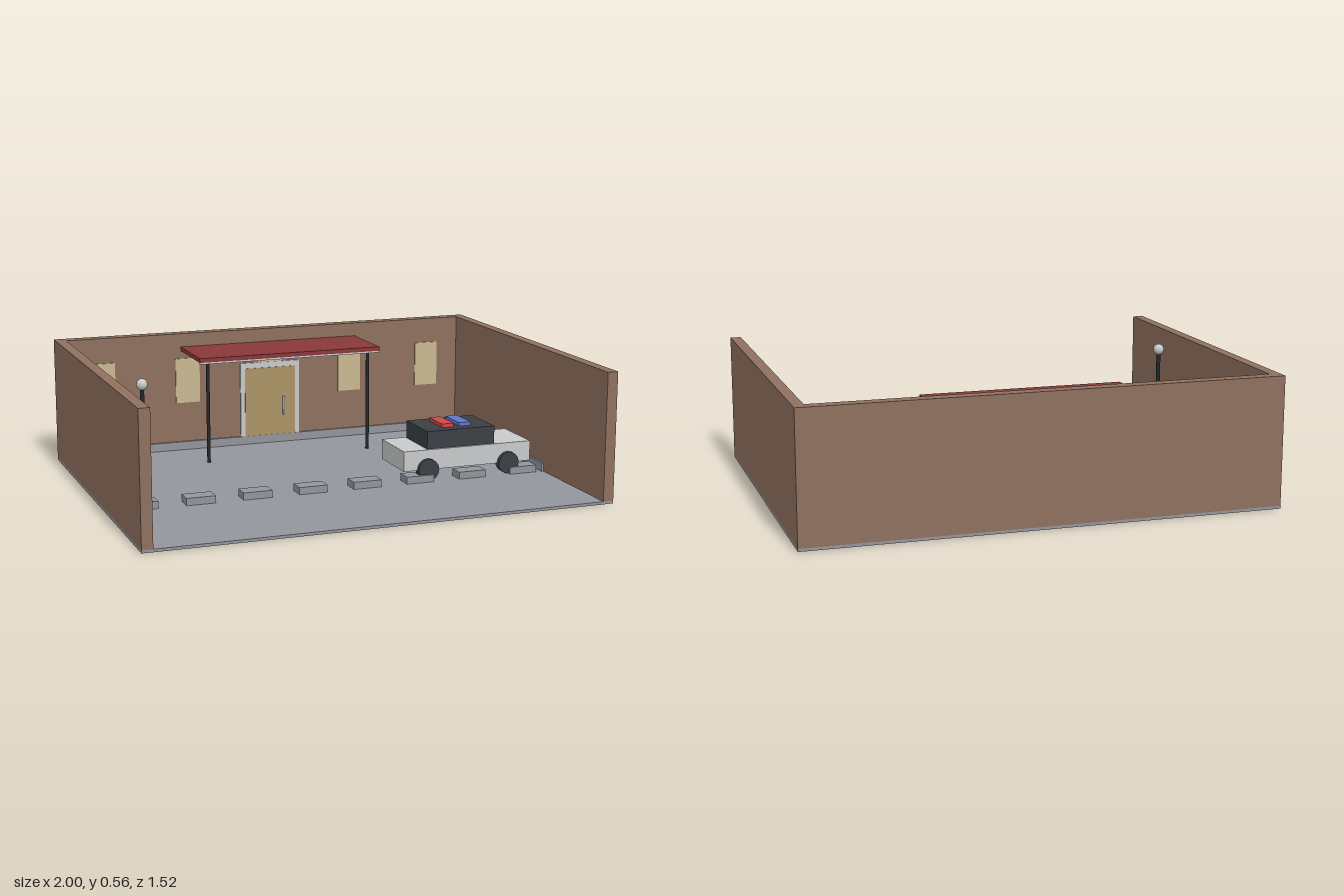
import * as THREE from 'three';

const mat = (name, color) => {
  const m = new THREE.MeshStandardMaterial({ color });
  m.name = name;
  return m;
};

export function createModel() {
  const brick = mat('brick brown', 0x8f705e);
  const paving = mat('paving grey', 0x92959c);
  const red = mat('canopy red', 0x8a3839);
  const cream = mat('window cream', 0xc9b891);
  const tan = mat('door tan', 0xab9567);
  const light = mat('light grey', 0xc8c9ca);
  const black = mat('black', 0x24272a);
  const charcoal = mat('cabin charcoal', 0x3b3f45);
  const beaconRed = mat('beacon red', 0xd04848);
  const beaconBlue = mat('beacon blue', 0x6275c8);

  const model = new THREE.Group();
  model.name = 'courtyard';

  // Box given by its limits on each axis
  const box = (parent, name, material, [x0, x1], [y0, y1], [z0, z1]) => {
    const mesh = new THREE.Mesh(new THREE.BoxGeometry(x1 - x0, y1 - y0, z1 - z0), material);
    mesh.position.set((x0 + x1) / 2, (y0 + y1) / 2, (z0 + z1) / 2);
    mesh.name = name;
    parent.add(mesh);
    return mesh;
  };
  const post = (parent, name, r, x, z, y0, y1) => {
    const mesh = new THREE.Mesh(new THREE.CylinderGeometry(r, r, y1 - y0, 12), black);
    mesh.position.set(x, (y0 + y1) / 2, z);
    mesh.name = name;
    parent.add(mesh);
  };

  // Ground and walls
  const ground = 0.012, top = 0.555, wallZ = -0.71;
  box(model, 'ground', paving, [-1, 1], [0, ground], [-0.762, 0.762]);
  box(model, 'backWall', brick, [-1, 1], [ground, top], [-0.762, wallZ]);
  box(model, 'rightWall', brick, [-1, -0.954], [ground, top], [wallZ, 0.762]);
  box(model, 'leftWall', brick, [0.954, 1], [ground, top], [wallZ, 0.762]);

  // Low kerbs at the foot of the walls
  box(model, 'backKerb', paving, [-0.945, 0.945], [ground, 0.05], [wallZ, wallZ + 0.011]);
  box(model, 'rightKerb', paving, [-0.954, -0.944], [ground, 0.05], [wallZ, 0.23]);
  box(model, 'leftKerb', paving, [0.944, 0.954], [ground, 0.05], [wallZ, 0.23]);

  // Row of windows
  for (let i = -2; i <= 2; i++) {
    const x = i * 0.397;
    box(model, 'window', cream, [x - 0.057, x + 0.057], [0.233, 0.44], [wallZ, wallZ + 0.005]);
  }

  // Entrance
  const entrance = new THREE.Group();
  entrance.name = 'entrance';
  model.add(entrance);
  box(entrance, 'doorFrame', light, [-0.144, 0.144], [ground, 0.398], [wallZ, wallZ + 0.007]);
  box(entrance, 'door', tan, [-0.123, 0.123], [ground, 0.372], [wallZ, wallZ + 0.01]);
  box(entrance, 'doorHandle', light, [0.061, 0.07], [0.143, 0.23], [wallZ + 0.01, wallZ + 0.018]);

  // Canopy on two posts
  const canopy = new THREE.Group();
  canopy.name = 'canopy';
  model.add(canopy);
  box(canopy, 'canopyRoof', red, [-0.427, 0.427], [0.475, 0.494], [wallZ, -0.4]);
  box(canopy, 'canopyTrim', light, [-0.425, 0.425], [0.467, 0.475], [-0.412, -0.401]);
  for (const s of [-1, 1]) post(canopy, 'canopyPost', 0.008, s * 0.382, -0.432, ground, 0.475);

  // Lamp post
  post(model, 'lampPost', 0.009, -0.827, 0.14, ground, 0.495);
  const lamp = new THREE.Mesh(new THREE.SphereGeometry(0.024, 12, 8), light);
  lamp.position.set(-0.827, 0.512, 0.14);
  lamp.name = 'lampGlobe';
  model.add(lamp);

  // Parking blocks
  for (let i = 0; i < 8; i++) {
    const x = (i - 3.5) * 0.2444;
    box(model, 'parkingBlock', paving, [x - 0.063, x + 0.063], [ground, 0.043], [0.156, 0.229]);
  }

  // Patrol car, pointing along x
  const car = new THREE.Group();
  car.name = 'patrolCar';
  model.add(car);
  box(car, 'carBody', light, [0.3, 0.9], [0.06, 0.148], [-0.05, 0.2]);
  box(car, 'carCabin', charcoal, [0.412, 0.73], [0.148, 0.226], [-0.04, 0.19]);
  box(car, 'redBeacon', beaconRed, [0.502, 0.557], [0.226, 0.242], [0.003, 0.143]);
  box(car, 'blueBeacon', beaconBlue, [0.582, 0.637], [0.226, 0.242], [0.003, 0.143]);
  for (const x of [0.41, 0.79]) {
    for (const s of [-1, 1]) {
      const wheel = new THREE.Mesh(new THREE.CylinderGeometry(0.048, 0.048, 0.036, 16), charcoal);
      wheel.rotation.x = Math.PI / 2;
      wheel.position.set(x, 0.062, 0.075 + s * 0.125);
      wheel.name = 'wheel';
      car.add(wheel);
    }
  }
  return model;
}
